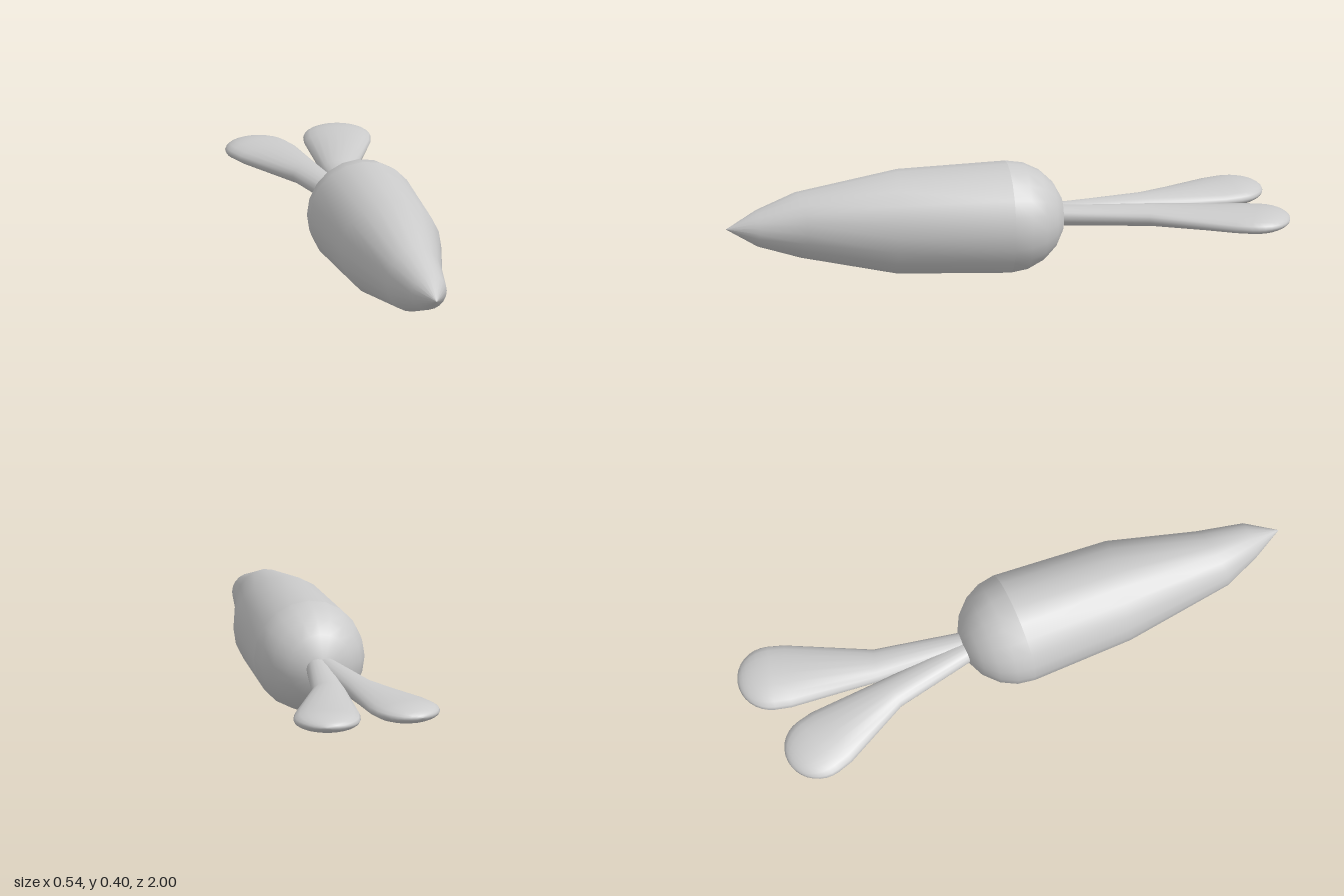
import * as THREE from 'three';

const MID_Y = 0.202;
const material = new THREE.MeshStandardMaterial({ color: 0xcccccc, side: THREE.DoubleSide });

// Skins elliptical rings ordered from +z to -z.
// Each ring: [x, z, half width, half height, yaw of the ring]
function loft(name, rings, sides) {
  const positions = [], index = [];
  rings.forEach(([x, z, w, h, yaw = 0], i) => {
    for (let j = 0; j < sides; j++) {
      const a = (j / sides) * Math.PI * 2;
      const across = w * Math.cos(a);
      positions.push(x + across * Math.cos(yaw), MID_Y + h * Math.sin(a), z + across * Math.sin(yaw));
      if (i === rings.length - 1) continue;
      const k = (j + 1) % sides;
      const p = i * sides + j, q = i * sides + k;
      index.push(p, p + sides, q, q, p + sides, q + sides);
    }
  });
  const geometry = new THREE.BufferGeometry();
  geometry.setAttribute('position', new THREE.Float32BufferAttribute(positions, 3));
  geometry.setIndex(index);
  geometry.computeVertexNormals();
  const mesh = new THREE.Mesh(geometry, material);
  mesh.name = name;
  return mesh;
}

// Flattened leaf: narrow stem widening into a rounded paddle
function leaf(name, base, middle, head) {
  const radius = 0.12, thick = 0.037;
  const dx = head[0] - middle[0], dz = head[1] - middle[1];
  const length = Math.hypot(dx, dz), ux = dx / length, uz = dz / length;
  const yaw = Math.atan2(ux, -uz);
  const rings = [
    [...base, 0.037, thick, yaw * 0.5],
    [...middle, 0.061, thick, yaw],
    [head[0] - ux * 0.06, head[1] - uz * 0.06, 0.118, thick, yaw],
  ];
  const steps = 8;
  for (let i = 0; i <= steps; i++) {
    const a = (i / steps) * Math.PI / 2;
    const s = radius * Math.sin(a), c = Math.cos(a);
    rings.push([head[0] + ux * s, head[1] + uz * s, radius * c, thick * c, yaw]);
  }
  return loft(name, rings, 20);
}

export function createModel() {
  const group = new THREE.Group();
  group.name = 'carrot';

  // Slightly crooked tapering root
  group.add(loft('root', [
    [-0.04, 1.0, 0, 0],
    [-0.035, 0.89, 0.065, 0.065],
    [-0.045, 0.74, 0.111, 0.118, -0.18],
    [-0.027, 0.385, 0.181, 0.187, 0.14],
    [-0.012, -0.01, 0.2, 0.2],
  ], 20));

  // Domed crown
  const dome = [];
  for (let i = 0; i <= 5; i++) {
    const a = (i / 5) * Math.PI / 2, r = 0.2 * Math.cos(a);
    dome.push([-0.012, -0.01 - 0.203 * Math.sin(a), r, r]);
  }
  group.add(loft('crown', dome, 20));

  // Two leaves of unequal length
  group.add(leaf('rightLeaf', [-0.02, -0.15], [-0.07, -0.51], [-0.155, -0.828]));
  group.add(leaf('leftLeaf', [-0.002, -0.15], [0.048, -0.52], [0.15, -0.88]));

  return group;
}
